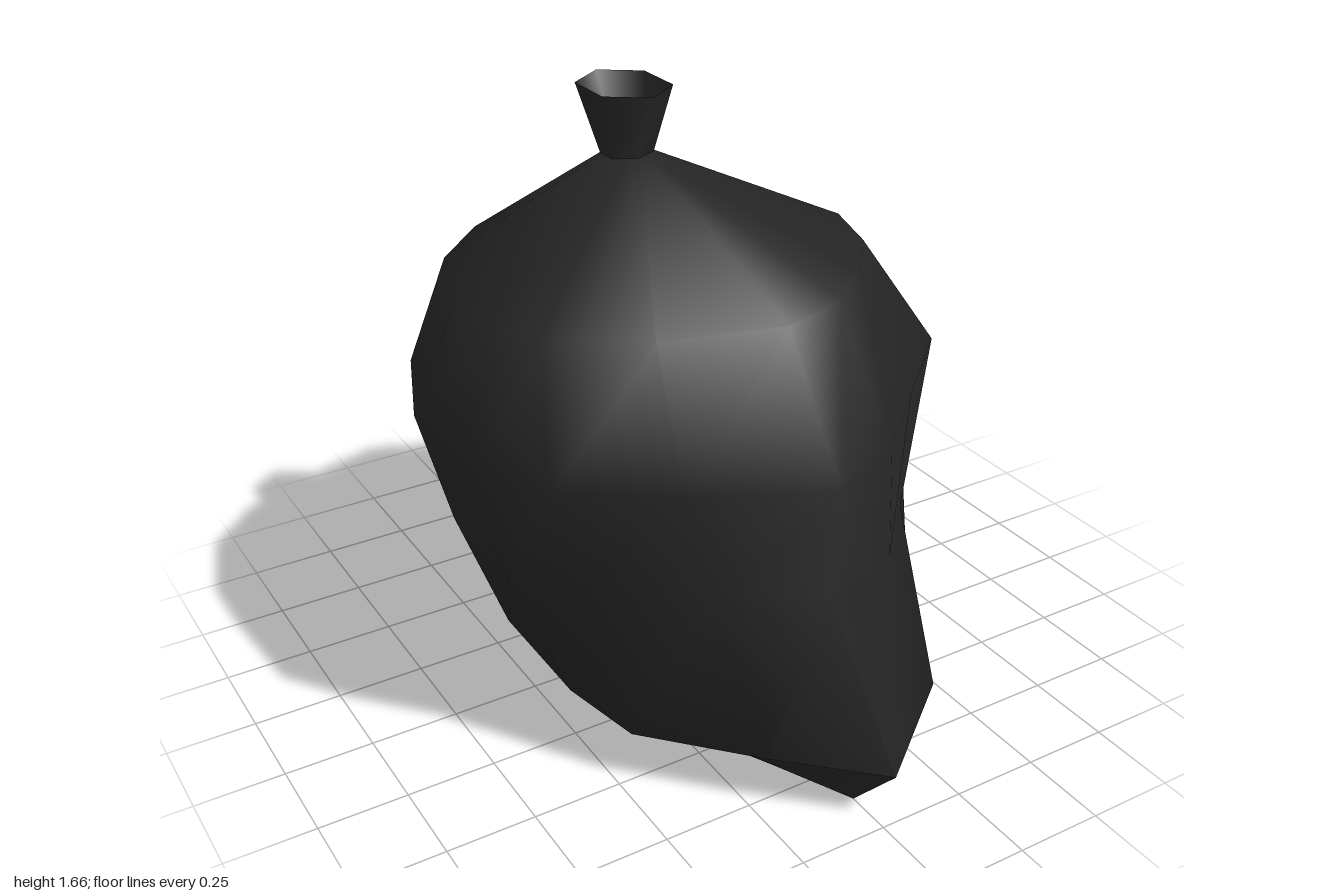
import * as THREE from 'three';
import { toCreasedNormals } from 'three/addons/utils/BufferGeometryUtils.js';

// Elliptical ring of [x, z] points, starting at the front and turning to +x
function ellipse(sides, cx, cz, rx, rz) {
  return Array.from({ length: sides }, (_, i) => {
    const a = (i / sides) * Math.PI * 2;
    return [cx + Math.sin(a) * rx, cz + Math.cos(a) * rz];
  });
}

// Skin a stack of rings; closed ends get a fan around the ring's middle
function loft(rings, closed) {
  const n = rings[0].pts.length, pos = [], index = [];
  for (const { y, pts } of rings) for (const [x, z] of pts) pos.push(x, y, z);
  for (let r = 0; r < rings.length - 1; r++) {
    for (let i = 0; i < n; i++) {
      const j = (i + 1) % n, a = r * n, b = a + n;
      index.push(a + i, a + j, b + j, a + i, b + j, b + i);
    }
  }
  if (closed) {
    [0, rings.length - 1].forEach((r) => {
      const { y, pts } = rings[r], c = pos.length / 3;
      const mean = (k) => pts.reduce((s, p) => s + p[k], 0) / n;
      pos.push(mean(0), y, mean(1));
      for (let i = 0; i < n; i++) {
        const a = r * n + i, b = r * n + ((i + 1) % n);
        if (r === 0) index.push(c, b, a);
        else index.push(c, a, b);
      }
    });
  }
  const g = new THREE.BufferGeometry();
  g.setAttribute('position', new THREE.Float32BufferAttribute(pos, 3));
  g.setIndex(index);
  return toCreasedNormals(g, 1.35);
}

export function createModel() {
  const group = new THREE.Group();
  group.name = 'tiedSack';
  const material = new THREE.MeshStandardMaterial({ color: 0x242424, side: THREE.DoubleSide });

  // Flat base, pinched to a point at front and back
  const base = [[0, .87], [.16, .63], [.24, .42], [.28, .25], [.3, 0], [.3, -.25], [.22, -.52], [.13, -.75],
    [0, -.94], [-.11, -.78], [-.19, -.62], [-.25, -.44], [-.27, -.1], [-.27, .2], [-.22, .42], [-.1, .66]];
  // Bottom fold with the two protruding corners
  const fold = [[.03, 1], [.36, .74], [.485, .47], [.55, .33], [.56, 0], [.55, -.3], [.41, -.64], [.26, -.84],
    [0, -1], [-.15, -.81], [-.29, -.64], [-.42, -.48], [-.51, -.14], [-.51, .25], [-.46, .5], [-.21, .77]];
  // Waist, belly and shoulder of the sack
  const waist = [[0, .73], [.25, .65], [.44, .45], [.64, .2], [.68, -.13], [.62, -.38], [.47, -.62], [.3, -.78],
    [0, -.9], [-.19, -.78], [-.38, -.64], [-.54, -.47], [-.66, -.13], [-.66, .18], [-.56, .38], [-.26, .59]];
  const belly = [[0, .75], [.25, .63], [.46, .44], [.74, .18], [.74, -.13], [.66, -.42], [.51, -.61], [.35, -.8],
    [0, -.95], [-.2, -.83], [-.4, -.7], [-.62, -.47], [-.745, -.15], [-.745, .22], [-.62, .4], [-.35, .59]];
  const shoulder = [[0, .51], [.2, .45], [.35, .33], [.5, .14], [.56, -.06], [.47, -.25], [.36, -.41], [.24, -.54],
    [-.02, -.64], [-.2, -.6], [-.38, -.51], [-.55, -.34], [-.63, -.08], [-.63, .12], [-.57, .28], [-.33, .42]];

  const sack = new THREE.Mesh(loft([
    { y: 0, pts: base },
    { y: .15, pts: fold },
    { y: .55, pts: waist },
    { y: .885, pts: belly },
    { y: 1.23, pts: shoulder },
    { y: 1.49, pts: ellipse(16, -.065, -.185, .065, .065) },
  ], true), material);
  sack.name = 'sack';

  // Open six-sided gathered mouth, flaring towards the back
  const mouth = new THREE.Mesh(loft([
    { y: 1.49, pts: ellipse(6, -.065, -.185, .075, .065) },
    { y: 1.66, pts: ellipse(6, -.038, -.245, .125, .155) },
  ], false), material);
  mouth.name = 'gatheredMouth';

  group.add(sack, mouth);
  return group;
}
